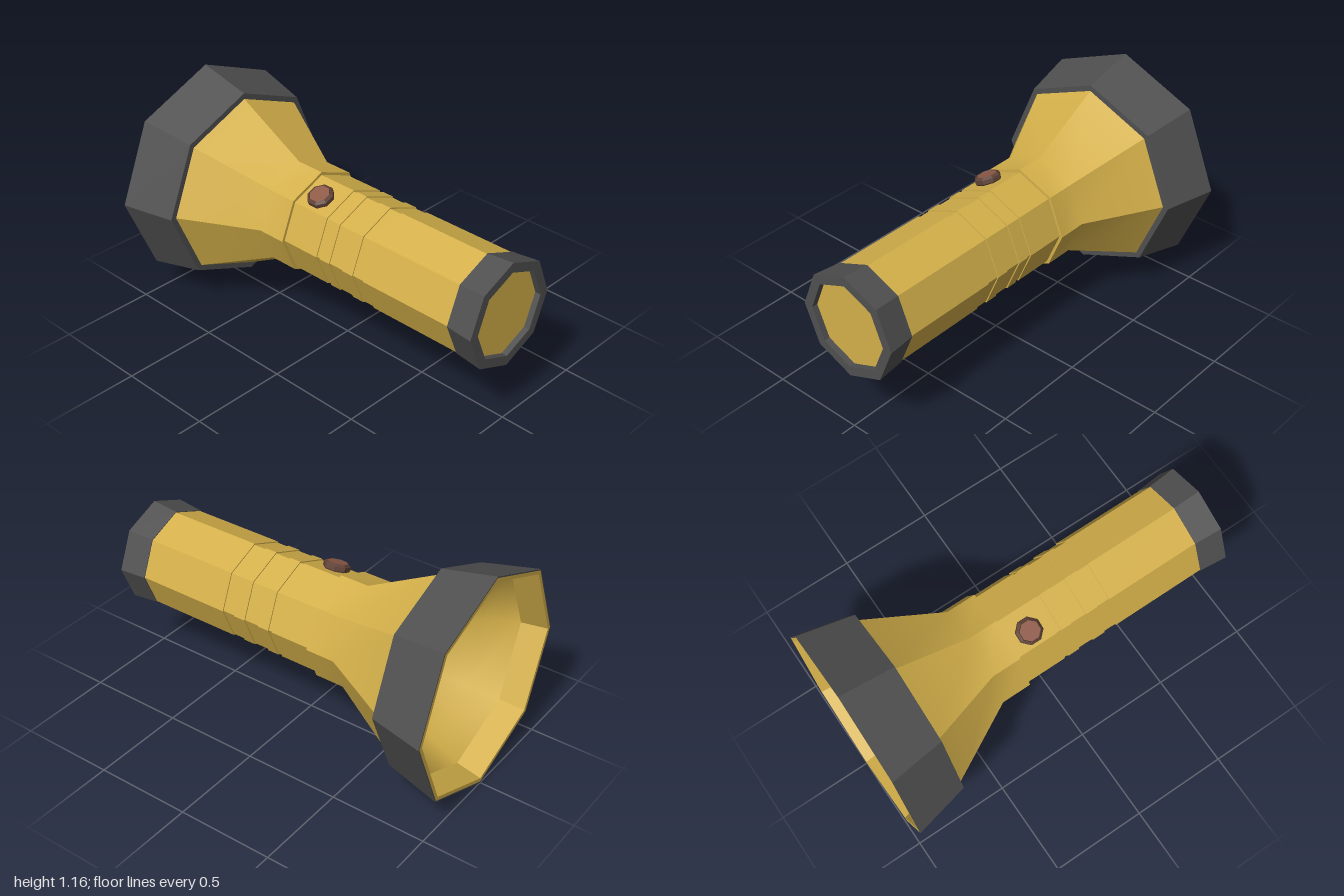
import * as THREE from 'three';
import { toCreasedNormals } from 'three/addons/utils/BufferGeometryUtils.js';

const yellow = new THREE.MeshStandardMaterial({ color: 0xd4b04a });
const dark = new THREE.MeshStandardMaterial({ color: 0x505050 });
const brown = new THREE.MeshStandardMaterial({ color: 0x5f4236 });
const redBrown = new THREE.MeshStandardMaterial({ color: 0x8f5a48 });

// Eight-sided turned part from [position along axis, radius] pairs
function turned(name, profile, material, { phi = 0, crease = Math.PI / 6 } = {}) {
  const points = profile.map(([along, radius]) => new THREE.Vector2(radius, along));
  const geometry = toCreasedNormals(new THREE.LatheGeometry(points, 8, phi), crease);
  const mesh = new THREE.Mesh(geometry, material);
  mesh.name = name;
  return mesh;
}

export function createModel() {
  const model = new THREE.Group();
  model.name = 'flashlight';

  const torch = new THREE.Group();
  torch.name = 'torchBody';
  torch.rotation.z = -Math.PI / 2; // turning axis lies along x
  torch.position.y = 0.583;
  model.add(torch);

  // Head: dark collar, yellow rim with a short inner wall, and a deep smooth reflector
  torch.add(turned('headCollar', [[-1, 0.575], [-1, 0.582], [-0.715, 0.516], [-0.715, 0.47]], dark));
  torch.add(turned('headRim', [[-0.87, 0.525], [-1, 0.555], [-1, 0.575]], yellow));
  torch.add(turned('reflector', [
    [-0.33, 0], [-0.36, 0.22], [-0.715, 0.445], [-0.87, 0.525],
  ], yellow, { crease: Math.PI / 2 }));

  // Neck flares from the grip to the collar
  torch.add(turned('neck', [[-0.715, 0.485], [-0.33, 0.275], [-0.175, 0.275], [-0.175, 0.25]], yellow));

  // Grip: raised bands alternating with shallow grooves
  const stops = [-0.175, 0.04, 0.065, 0.125, 0.21, 0.275, 0.345, 0.855];
  for (let i = 0; i < stops.length - 1; i++) {
    const [start, end] = [stops[i], stops[i + 1]];
    if (i % 2) torch.add(turned('gripGroove', [[start, 0.253], [end, 0.253]], yellow));
    else torch.add(turned('gripBand', [[start, 0.253], [start, 0.259], [end, 0.259], [end, 0.253]], yellow));
  }

  // Tail: flared dark ring around a recessed plate
  torch.add(turned('tailRing', [
    [0.855, 0.25], [0.855, 0.263], [1, 0.277], [1, 0.226], [0.97, 0.226],
  ], dark));
  torch.add(turned('tailPlate', [[0.97, 0.228], [0.97, 0]], yellow));

  // Push button on the upper front facet
  const button = new THREE.Group();
  button.name = 'button';
  button.position.set(-0.07, 0.577, 0.016);
  button.rotation.x = Math.PI / 8;
  button.add(turned('buttonRim', [
    [0.23, 0.055], [0.245, 0.068], [0.265, 0.068], [0.277, 0.054], [0.27, 0.05],
  ], brown, { phi: Math.PI / 8 }));
  button.add(turned('buttonTop', [[0.26, 0.051], [0.275, 0.051], [0.275, 0]], redBrown, { phi: Math.PI / 8 }));
  model.add(button);

  return model;
}
